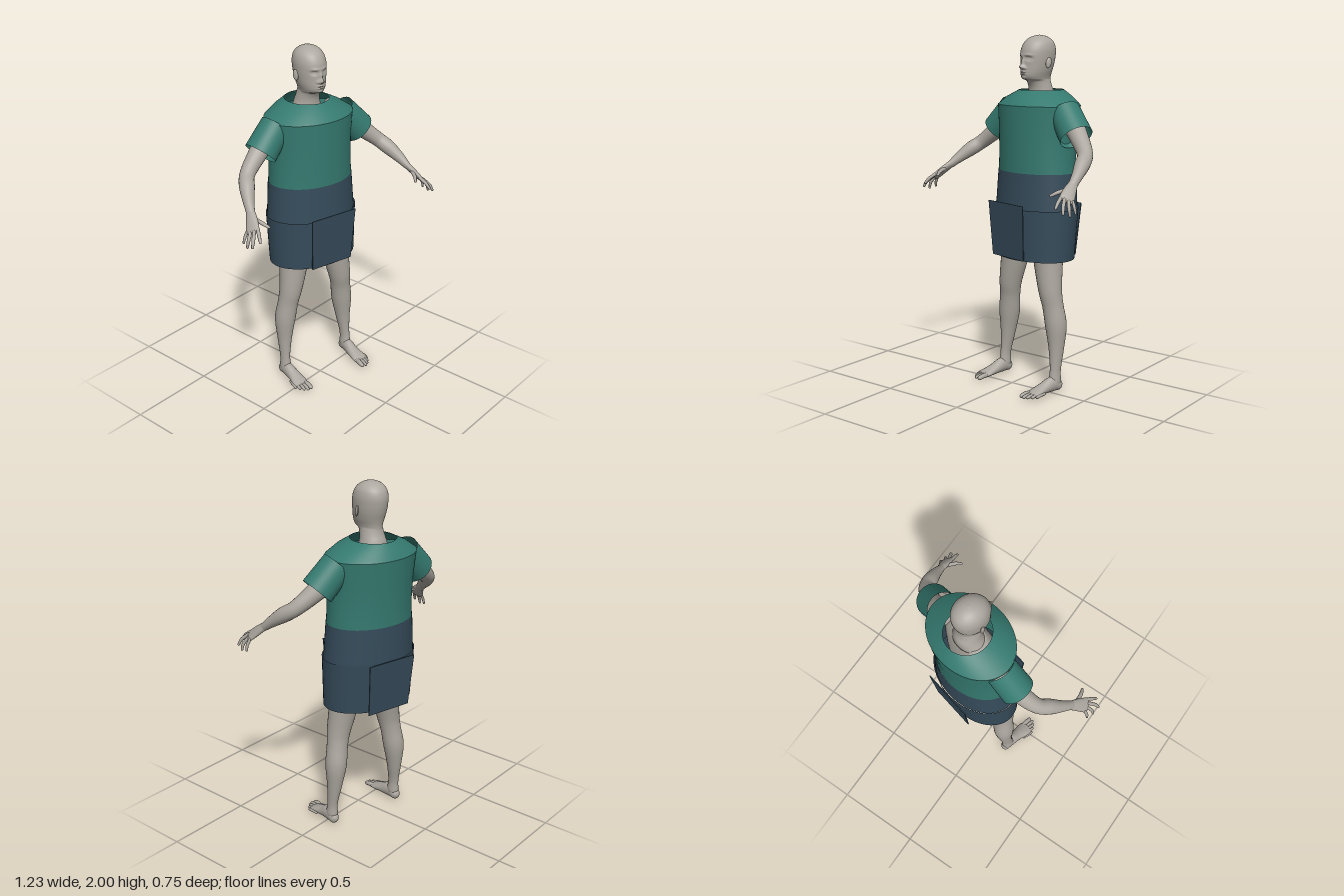
import * as THREE from 'three';
import { toCreasedNormals } from 'three/addons/utils/BufferGeometryUtils.js';

const V = (x, y, z) => new THREE.Vector3(x, y, z);
const skin = new THREE.MeshStandardMaterial({ name: 'skin', color: 0xaca79f });
const teal = new THREE.MeshStandardMaterial({ name: 'teal shirt cloth', color: 0x357a70, side: THREE.DoubleSide });
const slate = new THREE.MeshStandardMaterial({ name: 'slate skirt cloth', color: 0x354b5a, side: THREE.DoubleSide });

// Skin a surface over closed rings of equal point count
function loft(rings, capped = false) {
  const n = rings[0].length, pos = [], idx = [];
  rings.forEach(r => r.forEach(p => pos.push(p.x, p.y, p.z)));
  for (let i = 0; i < rings.length - 1; i++) {
    for (let j = 0; j < n; j++) {
      const a = i * n + j, b = i * n + (j + 1) % n;
      idx.push(a, b, a + n, b, b + n, a + n);
    }
  }
  if (capped) {
    [0, rings.length - 1].forEach((row, end) => {
      const c = rings[row].reduce((s, p) => s.add(p), V(0, 0, 0)).divideScalar(n);
      const ci = pos.length / 3;
      pos.push(c.x, c.y, c.z);
      for (let j = 0; j < n; j++) {
        const a = row * n + j, b = row * n + (j + 1) % n;
        if (end) idx.push(a, b, ci); else idx.push(b, a, ci);
      }
    });
  }
  const g = new THREE.BufferGeometry();
  g.setAttribute('position', new THREE.Float32BufferAttribute(pos, 3));
  g.setIndex(idx);
  g.computeVertexNormals();
  return g;
}

// Horizontal ellipse ring: height, half width, back z, front z
function ring([y, w, zb, zf], n = 64) {
  return Array.from({ length: n }, (_, j) => {
    const t = j / n * Math.PI * 2;
    return V(Math.sin(t) * w, y, (zb + zf) / 2 + Math.cos(t) * (zf - zb) / 2);
  });
}

// Smoothly resample a list of [y, w, zb, zf] sections
function resample(list, rows) {
  const a = new THREE.CatmullRomCurve3(list.map(s => V(s[0], s[1], s[2])), false, 'centripetal');
  const b = new THREE.CatmullRomCurve3(list.map(s => V(s[0], s[3], 0)), false, 'centripetal');
  return Array.from({ length: rows + 1 }, (_, i) => {
    const p = a.getPoint(i / rows), q = b.getPoint(i / rows);
    return [p.x, p.y, p.z, q.y];
  });
}

// Rounded limb through [x, y, z, radius along side, other radius]; s mirrors it
function limb(s, pts, side = [1, 0, 0], rows = 28, n = 20) {
  const path = new THREE.CatmullRomCurve3(pts.map(p => V(s * p[0], p[1], p[2])), false, 'centripetal');
  const rad = new THREE.CatmullRomCurve3(pts.map((p, i) => V(p[3], p[4] ?? p[3], i * 0.05)), false, 'centripetal');
  const rings = [];
  const add = (u, k, shift) => {
    const c = path.getPoint(u), t = path.getTangent(u), r = rad.getPoint(u);
    const e1 = V(s * side[0], side[1], side[2]);
    e1.addScaledVector(t, -e1.dot(t)).normalize();
    const e2 = t.clone().cross(e1);
    c.addScaledVector(t, shift * Math.min(r.x, r.y));
    rings.push(Array.from({ length: n }, (_, j) => {
      const a = j / n * Math.PI * 2;
      return c.clone().addScaledVector(e1, Math.cos(a) * r.x * k).addScaledVector(e2, Math.sin(a) * r.y * k);
    }));
  };
  const caps = [0.15, 0.5, 0.9, 1.25];
  caps.forEach(a => add(0, Math.sin(a), -Math.cos(a)));
  for (let i = 0; i <= rows; i++) add(i / rows, 1, 0);
  [...caps].reverse().forEach(a => add(1, Math.sin(a), Math.cos(a)));
  return loft(rings, true);
}

// Head and neck, with the face pushed in and out by soft bumps
function headGeometry() {
  const g = loft(resample([
    [1.62, 0.1, -0.1, 0.05], [1.68, 0.073, -0.1, 0.045], [1.72, 0.064, -0.086, 0.05],
    [1.748, 0.06, -0.08, 0.066], [1.758, 0.061, -0.08, 0.096], [1.775, 0.066, -0.082, 0.107],
    [1.8, 0.074, -0.088, 0.108], [1.84, 0.082, -0.1, 0.106], [1.88, 0.086, -0.108, 0.106],
    [1.92, 0.086, -0.11, 0.1], [1.955, 0.077, -0.1, 0.082], [1.98, 0.057, -0.076, 0.054],
    [1.994, 0.031, -0.047, 0.022], [2.0, 0.002, -0.014, -0.01]], 110).map(s => ring(s, 80)), true);
  // [x, y, x spread, y spread, depth]
  const bumps = [
    [0, 1.826, 0.012, 0.011, 0.026], [0, 1.85, 0.009, 0.022, 0.014],
    [0.016, 1.82, 0.008, 0.007, 0.01], [-0.016, 1.82, 0.008, 0.007, 0.01],
    [0.034, 1.872, 0.016, 0.011, -0.013], [-0.034, 1.872, 0.016, 0.011, -0.013],
    [0.034, 1.87, 0.01, 0.005, 0.006], [-0.034, 1.87, 0.01, 0.005, 0.006],
    [0.03, 1.89, 0.022, 0.007, 0.006], [-0.03, 1.89, 0.022, 0.007, 0.006],
    [0, 1.799, 0.022, 0.005, 0.008], [0, 1.787, 0.02, 0.005, 0.008],
    [0, 1.793, 0.022, 0.002, -0.004], [0, 1.765, 0.018, 0.009, 0.006]];
  const p = g.attributes.position;
  for (let i = 0; i < p.count; i++) {
    const x = p.getX(i), y = p.getY(i), z = p.getZ(i);
    if (z < 0.02) continue;
    const d = bumps.reduce((t, [bx, by, sx, sy, k]) =>
      t + k * Math.exp(-(((x - bx) / sx) ** 2) - ((y - by) / sy) ** 2), 0);
    p.setZ(i, z + d);
  }
  g.computeVertexNormals();
  return g;
}

// Thin leaning panel: [half width, y, z] at top and bottom
function panel(top, bottom) {
  const g = new THREE.BoxGeometry(2, 1, 0.006), p = g.attributes.position;
  for (let i = 0; i < p.count; i++) {
    const [w, y, z] = p.getY(i) > 0 ? top : bottom;
    p.setXYZ(i, p.getX(i) * w, y, z + p.getZ(i));
  }
  g.computeVertexNormals();
  return g;
}

export function createModel() {
  const model = new THREE.Group();
  const body = new THREE.Group();
  body.name = 'figure';
  body.position.set(0.074, 0, -0.14);
  body.rotation.y = -0.24;
  model.add(body);
  const add = (name, geometry, material) => {
    const m = new THREE.Mesh(geometry, material);
    m.name = name;
    body.add(m);
    return m;
  };

  add('head', headGeometry(), skin);
  add('torso', loft(resample([
    [0.88, 0.1, -0.07, 0.08], [0.95, 0.165, -0.11, 0.11], [1.2, 0.14, -0.1, 0.1],
    [1.45, 0.17, -0.11, 0.11], [1.58, 0.17, -0.1, 0.08], [1.64, 0.1, -0.09, 0.05]], 24).map(s => ring(s, 40)), true), skin);

  // Shirt body with an open neck
  add('shirt', toCreasedNormals(loft([
    [1.235, 0.256, -0.188, 0.19], [1.34, 0.25, -0.19, 0.19], [1.48, 0.252, -0.203, 0.193],
    [1.615, 0.266, -0.216, 0.194], [1.66, 0.2, -0.19, 0.155], [1.698, 0.122, -0.158, 0.1]].map(s => ring(s))), 0.6), teal);

  // Layered skirt with flat front and back panels
  add('skirtYoke', loft([
    [1.245, 0.258, -0.19, 0.192], [1.03, 0.272, -0.192, 0.205]].map(s => ring(s))), slate);
  add('skirtLowerLayer', loft([
    [1.045, 0.279, -0.198, 0.215], [0.755, 0.27, -0.17, 0.208]].map(s => ring(s))), slate);
  add('frontPanel', panel([0.15, 1.075, 0.232], [0.135, 0.762, 0.213]), slate);
  add('backPanel', panel([0.15, 1.05, -0.205], [0.135, 0.75, -0.176]), slate);

  for (const s of [1, -1]) {
    const side = s > 0 ? 'left' : 'right';

    // Sleeve
    const from = V(s * 0.215, 1.585, -0.01), to = V(s * 0.335, 1.455, 0.01);
    const sleeve = add(side + 'Sleeve', new THREE.CylinderGeometry(0.088, 0.093, from.distanceTo(to), 40, 1, true), teal);
    sleeve.position.copy(from).add(to).multiplyScalar(0.5);
    sleeve.quaternion.setFromUnitVectors(V(0, 1, 0), from.clone().sub(to).normalize());

    // Ear
    const ear = add(side + 'Ear', new THREE.SphereGeometry(1, 16, 12), skin);
    ear.scale.set(0.008, 0.03, 0.017);
    ear.position.set(s * 0.088, 1.848, -0.004);
    ear.rotation.set(-0.2, s * -0.4, 0);

    // Arm
    add(side + 'Arm', limb(s, [
      [0.185, 1.602, -0.035, 0.056], [0.25, 1.54, -0.025, 0.06], [0.35, 1.455, 0.005, 0.052],
      [0.45, 1.37, 0.052, 0.042], [0.485, 1.33, 0.105, 0.042], [0.52, 1.275, 0.175, 0.03],
      [0.537, 1.24, 0.218, 0.025, 0.021]], [0.4, -0.3, -0.8], 36), skin);

    // Hand
    const across = [0.45, -0.3, -0.75];
    add(side + 'Palm', limb(s, [
      [0.535, 1.245, 0.212, 0.024, 0.019], [0.552, 1.215, 0.25, 0.034, 0.018],
      [0.573, 1.18, 0.29, 0.041, 0.014], [0.578, 1.172, 0.3, 0.039, 0.012]], across), skin);
    const fingers = {
      Thumb: [[0.54, 1.22, 0.255], [0.52, 1.205, 0.31], [0.502, 1.19, 0.338], 0.011],
      IndexFinger: [[0.557, 1.188, 0.315], [0.572, 1.162, 0.352], [0.58, 1.138, 0.374], 0.01],
      MiddleFinger: [[0.577, 1.177, 0.312], [0.605, 1.143, 0.345], [0.618, 1.113, 0.357], 0.01],
      RingFinger: [[0.59, 1.167, 0.295], [0.614, 1.13, 0.312], [0.623, 1.098, 0.314], 0.0095],
      LittleFinger: [[0.597, 1.163, 0.272], [0.613, 1.132, 0.274], [0.619, 1.106, 0.272], 0.0085],
    };
    for (const [name, [a, b, c, r]] of Object.entries(fingers)) {
      add(side + name, limb(s, [[...a, r], [...b, r * 0.95], [...c, r * 0.7]], across, 10, 12), skin);
    }

    // Leg
    add(side + 'Leg', limb(s, [
      [0.1, 0.98, 0.01, 0.095, 0.1], [0.13, 0.85, 0.03, 0.094, 0.095], [0.15, 0.72, 0.042, 0.082, 0.08],
      [0.178, 0.57, 0.05, 0.066, 0.066], [0.192, 0.49, 0.043, 0.06, 0.06], [0.208, 0.38, 0.034, 0.06, 0.062],
      [0.217, 0.25, 0.038, 0.042, 0.046], [0.224, 0.13, 0.05, 0.028, 0.034],
      [0.225, 0.06, 0.055, 0.031, 0.039]], [1, 0, 0], 44, 28), skin);

    // Foot and toes
    add(side + 'Foot', limb(s, [
      [0.226, 0.036, 0.035, 0.028, 0.032], [0.225, 0.047, 0.075, 0.032, 0.044], [0.222, 0.034, 0.14, 0.037, 0.031],
      [0.224, 0.021, 0.2, 0.046, 0.019], [0.226, 0.017, 0.222, 0.043, 0.014]]), skin);
    const toes = [[0.194, 0.272, 0.014], [0.217, 0.278, 0.01], [0.236, 0.266, 0.0095], [0.253, 0.247, 0.009], [0.268, 0.224, 0.0085]];
    toes.forEach(([x, z, r], i) => {
      add(side + 'Toe' + (i + 1), limb(s, [
        [0.225 + (x - 0.225) * 0.85, 0.018, z - 0.06, r], [x, 0.018, z - 0.025, r], [x, 0.012, z, r * 0.9]], [1, 0, 0], 8, 12), skin);
    });
  }
  return model;
}
